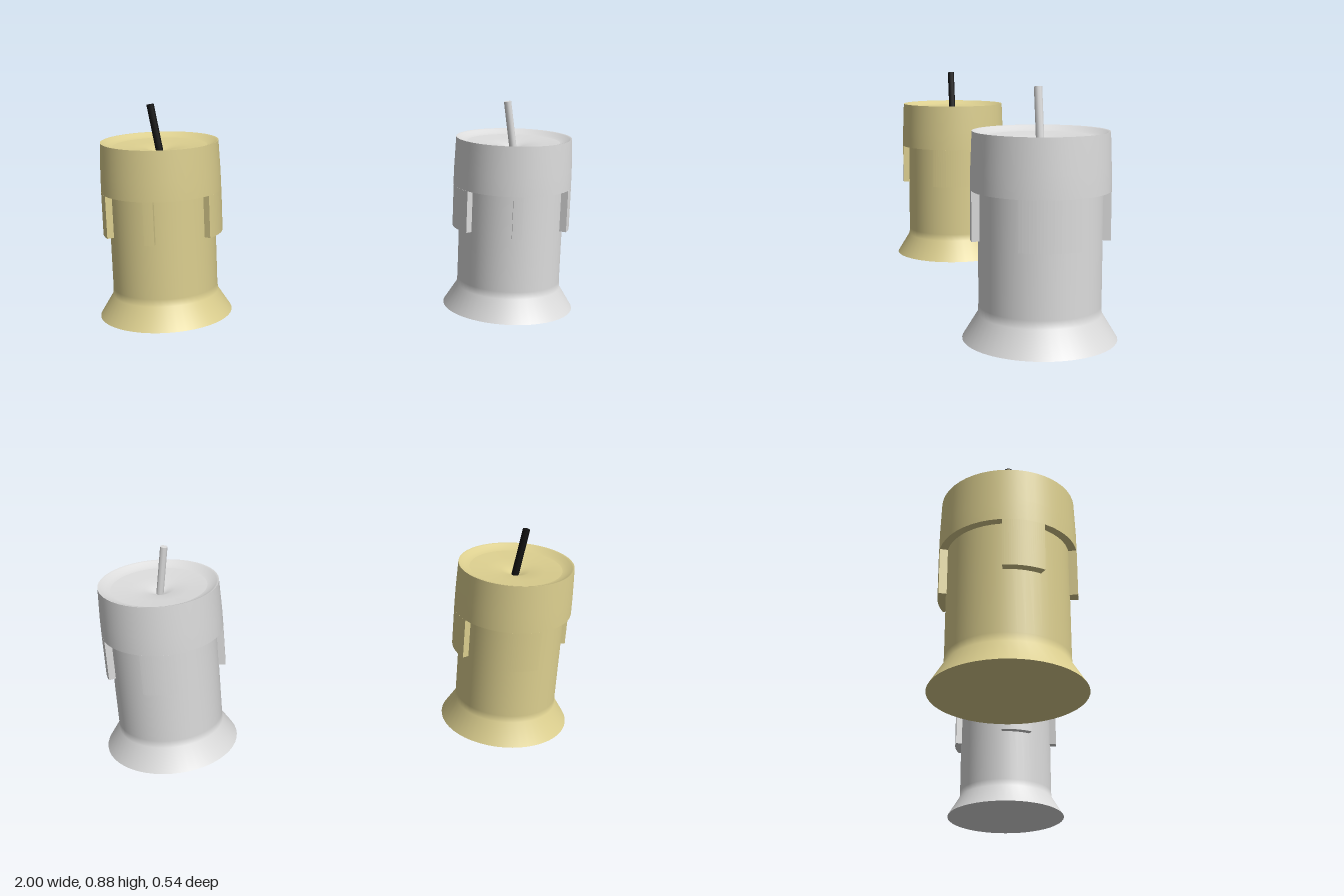
import * as THREE from 'three';
import { mergeGeometries } from 'three/addons/utils/BufferGeometryUtils.js';

const SEGMENTS = 48;
const BODY_R = 0.215, SLEEVE_R = 0.243, LIP_Y = 0.525, DRIP_Y = 0.35, RIM_Y = 0.727;

// Each profile is revolved on its own, so edges between profiles stay sharp
function lathe(...profiles) {
  return mergeGeometries(profiles.map((profile) =>
    new THREE.LatheGeometry(profile.map(([r, y]) => new THREE.Vector2(r, y)), SEGMENTS)));
}

// Curved slab hugging the body; angles in degrees from +x towards +z
function dripGeometry(from, to) {
  const a = THREE.MathUtils.degToRad(-to), b = THREE.MathUtils.degToRad(-from);
  const shape = new THREE.Shape();
  shape.absarc(0, 0, SLEEVE_R, a, b, false);
  shape.absarc(0, 0, BODY_R - 0.01, b, a, true);
  shape.closePath();
  const geometry = new THREE.ExtrudeGeometry(shape, {
    depth: LIP_Y - DRIP_Y, bevelEnabled: false, curveSegments: 10,
  });
  return geometry.rotateX(-Math.PI / 2).translate(0, DRIP_Y, 0);
}

function createCandle(name, wax, wickMaterial) {
  const candle = new THREE.Group();
  candle.name = name;
  const add = (part, geometry, material) => {
    const mesh = new THREE.Mesh(geometry, material);
    mesh.name = part;
    candle.add(mesh);
    return mesh;
  };

  // Column with a flared foot and flat underside
  add('body', lathe(
    [[0, 0], [0.272, 0]],
    [[0.272, 0], [0.217, 0.09], [BODY_R, 0.12], [BODY_R, 0.54]],
  ), wax);

  // Melted collar: lip, outer wall and dished top with a wick pit
  add('collar', lathe(
    [[BODY_R - 0.01, LIP_Y], [SLEEVE_R, LIP_Y]],
    [[SLEEVE_R, LIP_Y], [0.242, 0.6], [0.237, RIM_Y]],
    [[0.237, RIM_Y], [0.228, 0.725], [0.212, 0.713], [0.19, 0.708]],
    [[0.19, 0.708], [0.12, 0.702], [0.06, 0.697], [0.03, 0.685], [0, 0.672]],
  ), wax);

  // Wax runs: left, front, right, back
  const drips = [['leftDrip', -22, 34], ['frontDrip', 92, 101.5], ['rightDrip', 150, 185], ['backDrip', -103, -70]];
  for (const [part, from, to] of drips) add(part, dripGeometry(from, to), wax);

  // Leaning wick
  const bottom = new THREE.Vector3(0.002, 0.66, 0.002);
  const top = new THREE.Vector3(-0.032, 0.875, 0.002);
  const axis = top.clone().sub(bottom);
  const wick = add('wick', new THREE.CylinderGeometry(0.015, 0.015, axis.length(), 10), wickMaterial);
  wick.position.copy(bottom).add(top).multiplyScalar(0.5);
  wick.quaternion.setFromUnitVectors(new THREE.Vector3(0, 1, 0), axis.normalize());
  return candle;
}

export function createModel() {
  const material = (name, color) => {
    const m = new THREE.MeshStandardMaterial({ color });
    m.name = name;
    return m;
  };
  const yellowWax = material('yellow wax', 0xdccf8f);
  const greyWax = material('pale grey wax', 0xdcdcdc);
  const blackWick = material('black wick', 0x111111);

  const model = new THREE.Group();
  model.name = 'candles';
  const yellow = createCandle('yellowCandle', yellowWax, blackWick);
  const grey = createCandle('greyCandle', greyWax, greyWax);
  yellow.position.x = -0.728;
  grey.position.x = 0.728;
  model.add(yellow, grey);
  return model;
}
